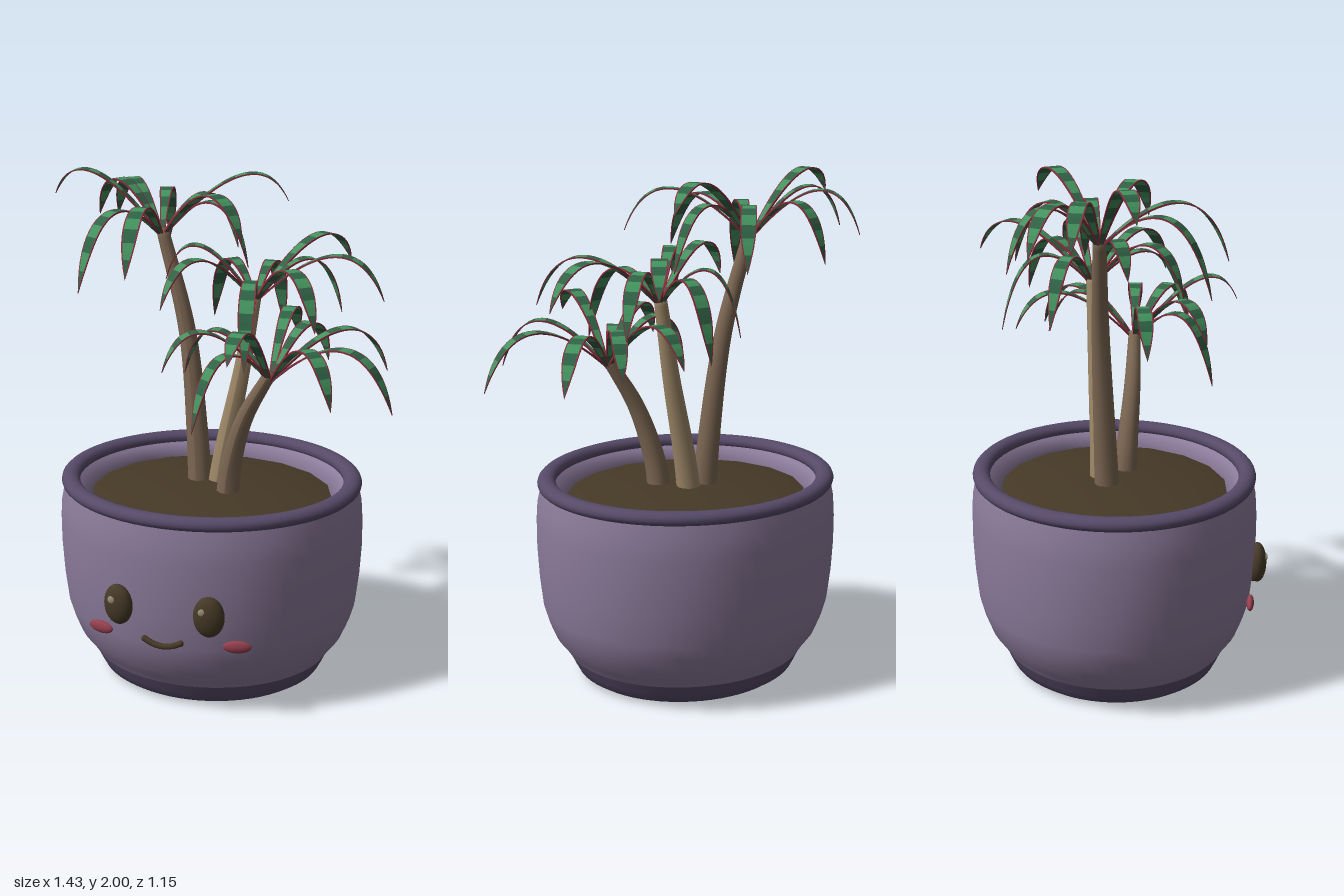
import * as THREE from 'three';

const mat = (name, color) => {
  const m = new THREE.MeshStandardMaterial({ color });
  m.name = name;
  return m;
};

export function createModel() {
  const M = {
    pot: mat('lavender glaze', 0x8c7b9b),
    trim: mat('dark purple glaze', 0x564a68),
    dark: mat('dark brown', 0x463927),
    bark: mat('brown bark', 0x7c6753),
    paleBark: mat('tan bark', 0x9e8868),
    light: mat('leaf green', 0x43935f),
    deep: mat('deep leaf green', 0x2f6346),
    red: mat('red leaf edge', 0x8c2f3f),
    cheek: mat('cheek red', 0x943f4d),
    shine: mat('eye shine', 0x9a8d78),
  };
  const root = new THREE.Group();
  const add = (parent, name, geometry, material) => {
    const mesh = new THREE.Mesh(geometry, material);
    mesh.name = name;
    parent.add(mesh);
    return mesh;
  };

  // Slightly oval pot: profiles are given for the x radius, z is narrower
  const CX = -0.06, CZ = -0.015, OVAL = 0.92;
  const pot = new THREE.Group();
  pot.name = 'pot';
  pot.position.set(CX, 0, CZ);
  pot.scale.z = OVAL;
  root.add(pot);
  const lathe = (pts, sides = 64) => new THREE.LatheGeometry(pts.map((p) => new THREE.Vector2(...p)), sides);
  add(pot, 'potBase', lathe([
    [0.12, 0.07], [0.132, 0.048], [0.17, 0.025], [0.23, 0.008], [0.3, 0.001], [0.38, 0.001],
    [0.425, 0.007], [0.452, 0.025], [0.468, 0.055], [0.487, 0.095],
  ]), M.trim);
  add(pot, 'potBody', lathe([
    [0.487, 0.095], [0.51, 0.13], [0.545, 0.175], [0.572, 0.24], [0.59, 0.3], [0.604, 0.42],
    [0.611, 0.54], [0.611, 0.65], [0.606, 0.72], [0.592, 0.785],
  ]), M.pot);
  add(pot, 'potInside', lathe([
    [0.555, 0.8], [0.525, 0.78], [0.485, 0.735], [0.51, 0.5], [0.48, 0.22], [0.4, 0.09], [0.12, 0.07],
  ]), M.pot);
  const rim = add(pot, 'rim', new THREE.TorusGeometry(0.568, 0.037, 14, 64).rotateX(Math.PI / 2), M.trim);
  rim.position.y = 0.801;
  rim.scale.y = 0.76;
  // Gently mounded soil
  add(pot, 'soil', lathe([[0.487, 0.738], [0.4, 0.755], [0.25, 0.77], [0.12, 0.777], [0, 0.78]], 18), M.dark);

  // Face on the front of the pot
  const face = new THREE.Group();
  face.name = 'face';
  root.add(face);
  const surfaceZ = (x, r) => CZ + OVAL * Math.sqrt(r * r - (x - CX) ** 2);
  const ball = (name, material, x, y, z, sx, sy, sz) => {
    const b = add(face, name, new THREE.SphereGeometry(1, 24, 16), material);
    b.position.set(x, y, z);
    b.scale.set(sx, sy, sz);
    b.rotation.y = (x - CX) * 0.9;
  };
  for (const s of [-1, 1]) {
    const ex = CX + s * 0.182, cx = CX + s * 0.277;
    ball('eye', M.dark, ex, 0.452, surfaceZ(ex, 0.606) + 0.014, 0.06, 0.081, 0.036);
    ball('eyeShine', M.shine, ex - 0.017, 0.479, surfaceZ(ex, 0.606) + 0.045, 0.015, 0.015, 0.006);
    ball('cheek', M.cheek, cx, 0.322, surfaceZ(cx, 0.594) + 0.014, 0.055, 0.025, 0.015);
  }
  const mouthZ = (x) => surfaceZ(CX + x, 0.594) + 0.016;
  const smile = [[-0.073, 0.332], [-0.04, 0.318], [0, 0.312], [0.04, 0.318], [0.073, 0.332]];
  add(face, 'mouth', new THREE.TubeGeometry(new THREE.CatmullRomCurve3(
    smile.map(([x, y]) => new THREE.Vector3(CX + x, y, mouthZ(x)))), 24, 0.012, 8), M.dark);
  for (const x of [-0.073, 0.073]) ball('mouthEnd', M.dark, CX + x, 0.332, mouthZ(x), 0.012, 0.012, 0.012);

  // Tapered trunk along a curve, with a flat cut top
  const trunkGeometry = (points, r0, r1) => {
    const curve = new THREE.CatmullRomCurve3(points.map((p) => new THREE.Vector3(...p)));
    const rows = 30, sides = 12;
    const g = new THREE.TubeGeometry(curve, rows, 1, sides);
    const pos = g.attributes.position, v = new THREE.Vector3();
    for (let i = 0; i <= rows; i++) {
      const from = curve.getPointAt(i / rows);
      const to = curve.getPointAt(Math.min(1, i / (rows - 1)));
      const r = i === rows ? 0 : r0 + (r1 - r0) * (i / rows);
      for (let j = 0; j <= sides; j++) {
        const k = i * (sides + 1) + j;
        v.fromBufferAttribute(pos, k).sub(from).multiplyScalar(r).add(to);
        pos.setXYZ(k, v.x, v.y, v.z);
      }
    }
    g.computeVertexNormals();
    return g;
  };

  // Arching strap leaf, thinning to the tip: banded faces, red edges
  const BANDS = 11, STEPS = 2, EDGE = 0.0045;
  const halfWidth = (t) => (t < 0.68
    ? 0.008 + 0.023 * Math.sin((t / 0.68) * Math.PI / 2)
    : 0.031 * (1 - ((t - 0.68) / 0.32) ** 2.4));
  const addLeaf = (out, [bx, by, bz], [tx, ty, tz]) => {
    const dx = tx - bx, dy = ty - by, dz = tz - bz, R = Math.hypot(dx, dz);
    const k = 0.185 - 0.1 * dy;
    // Cross-section loop: across the top, then back along the underside
    const ring = (t) => {
      const r = R * t * (1.5 - 0.5 * t), y = by + dy * t + 4 * k * t * (1 - t);
      const tr = R * (1.5 - t), tY = dy + 4 * k * (1 - 2 * t), len = Math.hypot(tr, tY);
      const w = halfWidth(t), inner = Math.max(0, w - EDGE);
      const point = (o, h) => {
        const q = r - (tY / len) * h;
        return [bx + (dx * q + dz * o) / R, y + (tr / len) * h, bz + (dz * q - dx * o) / R];
      };
      const h = 0.004 - 0.0025 * t;
      return [...[-w, -inner, inner, w].map((o) => point(o, h)), ...[w, inner, -inner, -w].map((o) => point(o, -h))];
    };
    const n = BANDS * STEPS;
    for (let i = 0; i < n; i++) {
      const a = ring(i / n), b = ring((i + 1) / n);
      const blade = Math.floor(i / STEPS) % 2 ? out.light : out.deep;
      for (let c = 0; c < 8; c++) {
        const d = (c + 1) % 8;
        (c % 4 === 1 ? blade : out.red).push(...a[c], ...b[c], ...a[d], ...a[d], ...b[c], ...b[d]);
      }
    }
  };

  // Three stems; each leaf is given by its tip [x, y, z]
  const stems = [
    {
      name: 'tallStem', bark: M.bark, r: [0.05, 0.024],
      path: [[-0.12, 0.7, -0.05], [-0.135, 0.95, -0.062], [-0.185, 1.38, -0.085], [-0.293, 1.775, -0.105]],
      tips: [[-0.6, 1.77, -0.395], [-0.62, 1.79, -0.25], [-0.715, 1.9, -0.04], [-0.49, 1.58, 0.27],
        [-0.25, 1.67, 0.385], [-0.39, 1.68, -0.45], [-0.075, 1.66, -0.39], [0.17, 1.88, -0.275],
        [0.06, 1.64, -0.11], [0.12, 1.78, 0.15]],
    },
    {
      name: 'middleStem', bark: M.paleBark, r: [0.049, 0.024],
      path: [[-0.05, 0.7, -0.06], [-0.02, 0.9, -0.062], [0.045, 1.22, -0.068], [0.102, 1.55, -0.075]],
      tips: [[0.11, 1.35, -0.43], [0.375, 1.62, -0.49], [0.39, 1.45, -0.295], [0.6, 1.545, -0.115],
        [0.44, 1.5, 0.28], [0.185, 1.34, 0.32], [-0.175, 1.53, 0.23], [-0.235, 1.6, 0.01],
        [-0.135, 1.4, -0.27]],
    },
    {
      name: 'shortStem', bark: M.bark, r: [0.05, 0.023],
      path: [[0.025, 0.7, 0.04], [0.045, 0.87, 0.055], [0.11, 1.09, 0.085], [0.222, 1.29, 0.113]],
      tips: [[0.715, 1.2, 0.2], [0.535, 1.25, 0.395], [0.19, 1.42, 0.525], [0.005, 1.11, 0.39],
        [-0.13, 1.32, 0.335], [-0.125, 1.26, 0.105], [0.6, 1.25, -0.21], [0.36, 1.27, -0.22],
        [0.19, 1.33, -0.37]],
    },
  ];
  for (const s of stems) {
    const group = new THREE.Group();
    group.name = s.name;
    root.add(group);
    add(group, 'trunk', trunkGeometry(s.path, ...s.r), s.bark);
    const out = { light: [], deep: [], red: [] };
    const [x, y, z] = s.path[s.path.length - 1];
    s.tips.forEach((tip) => addLeaf(out, [x, y - 0.035, z], tip));
    for (const [key, name] of [['light', 'leafLightBands'], ['deep', 'leafDarkBands'], ['red', 'leafEdges']]) {
      const g = new THREE.BufferGeometry();
      g.setAttribute('position', new THREE.Float32BufferAttribute(out[key], 3));
      g.computeVertexNormals();
      add(group, name, g, M[key]);
    }
  }
  return root;
}
